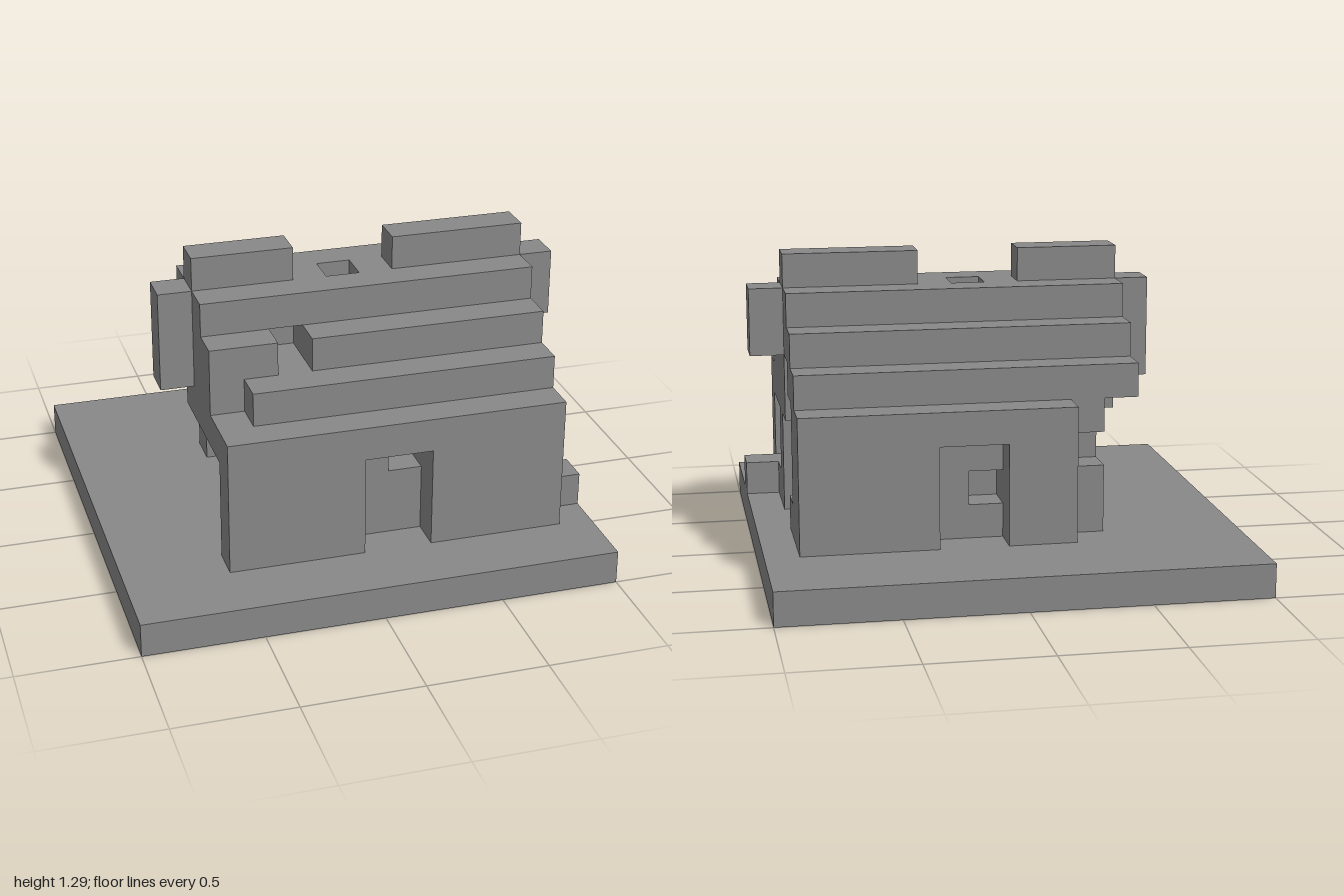
import * as THREE from 'three';
import { mergeGeometries } from 'three/addons/utils/BufferGeometryUtils.js';

const N = 14;          // cells along the base
const U = 2 / N;       // size of one cell

// Box given by cell ranges
function block(name, material, [x0, x1, y0, y1, z0, z1]) {
  const geo = new THREE.BoxGeometry((x1 - x0) * U, (y1 - y0) * U, (z1 - z0) * U);
  const mesh = new THREE.Mesh(geo, material);
  mesh.position.set(((x0 + x1) / 2) * U - 1, ((y0 + y1) / 2) * U, ((z0 + z1) / 2) * U - 1);
  mesh.name = name;
  return mesh;
}

const inside = (b, x, y, z) =>
  x >= b[0] && x < b[1] && y >= b[2] && y < b[3] && z >= b[4] && z < b[5];

// Walls and stepped roof, each [x0, x1, y0, y1, z0, z1]
const solids = [[3, 13, 1, 5, 3, 12]];
for (let i = 0; i < 3; i++) solids.push([3, 13, 5 + i, 6 + i, 4 + i, 11 - i]);
solids.push([3, 6, 8, 9, 7, 8], [9, 13, 8, 9, 7, 8]);

// Openings cut out of the solids
const openings = [
  // front door
  [7, 9, 1, 4, 11, 12], [8, 9, 3, 4, 10, 11],
  // back door
  [7, 9, 1, 4, 3, 4], [7, 8, 2, 3, 4, 5],
  // door, window and broken wall at +x
  [12, 13, 1, 4, 6, 8], [11, 13, 1, 3, 6, 7], [12, 13, 2, 4, 9, 11],
  [11, 13, 4, 5, 5, 7], [11, 13, 3, 4, 5, 6], [12, 13, 2, 3, 5, 6], [12, 13, 5, 6, 6, 7],
  // broken corner and wall at -x
  [3, 5, 1, 5, 3, 4], [3, 4, 1, 5, 4, 7], [4, 5, 3, 4, 4, 5], [4, 6, 1, 3, 5, 7],
  [3, 4, 1, 4, 7, 11], [3, 4, 5, 6, 6, 7],
  // roof gaps
  [3, 4, 5, 6, 10, 11], [5, 6, 6, 7, 8, 10], [7, 8, 7, 8, 7, 8],
];

const filled = (x, y, z) =>
  y < 1 || (solids.some((b) => inside(b, x, y, z)) && !openings.some((b) => inside(b, x, y, z)));

// Only the exposed cell faces are built
function houseGeometry() {
  const dirs = [[1, 0, 0], [-1, 0, 0], [0, 1, 0], [0, -1, 0], [0, 0, 1], [0, 0, -1]];
  const faces = [];
  for (let x = 2; x < N; x++)
    for (let y = 1; y < 9; y++)
      for (let z = 2; z < N; z++) {
        if (!filled(x, y, z)) continue;
        for (const [dx, dy, dz] of dirs) {
          if (filled(x + dx, y + dy, z + dz)) continue;
          const face = new THREE.PlaneGeometry(U, U);
          if (dy) face.rotateX((-dy * Math.PI) / 2);
          else face.rotateY(Math.atan2(dx, dz));
          face.translate(
            (x + 0.5 + dx / 2) * U - 1,
            (y + 0.5 + dy / 2) * U,
            (z + 0.5 + dz / 2) * U - 1
          );
          faces.push(face);
        }
      }
  return mergeGeometries(faces);
}

export function createModel() {
  const group = new THREE.Group();
  group.name = 'steppedHouse';
  const stone = new THREE.MeshStandardMaterial({ color: 0x888888 });
  stone.name = 'grey stone';

  const house = new THREE.Mesh(houseGeometry(), stone);
  house.name = 'houseWallsAndRoof';

  group.add(
    block('basePlate', stone, [0, N, 0, 1, 0, N]),
    house,
    block('leftGableBeam', stone, [13, 14, 6, 8, 7, 8]),
    block('rightGableBeam', stone, [2, 3, 5, 8, 7, 8]),
    block('windowStep', stone, [13, 14, 1, 2, 10, 11])
  );
  return group;
}
